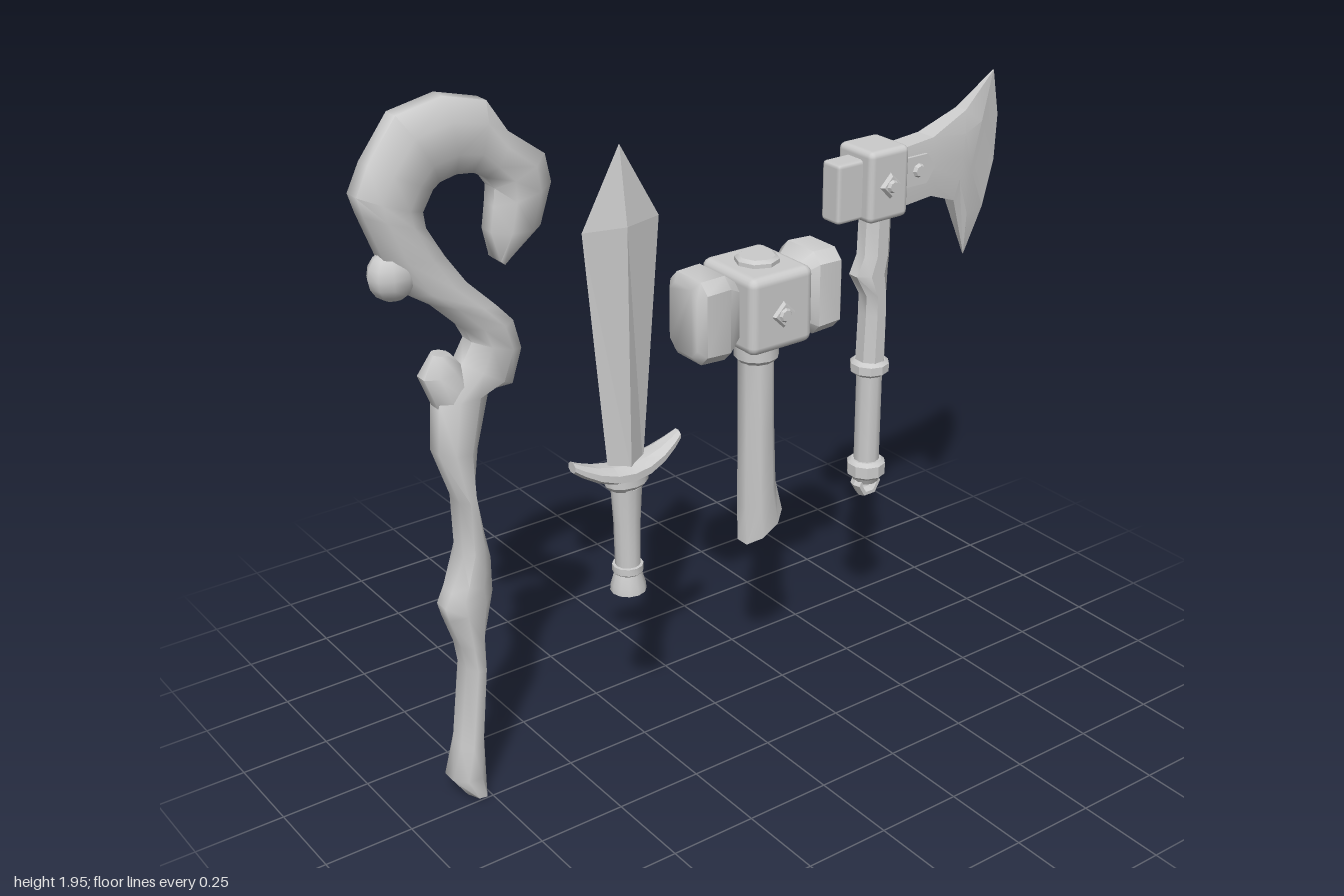
import * as THREE from 'three';
import { toCreasedNormals } from 'three/addons/utils/BufferGeometryUtils.js';
import { RoundedBoxGeometry } from 'three/addons/geometries/RoundedBoxGeometry.js';

const grey = new THREE.MeshStandardMaterial({ color: 0xcccccc });

function add(parent, name, geo, x = 0, y = 0, z = 0) {
  const mesh = new THREE.Mesh(geo, grey);
  mesh.name = name;
  mesh.position.set(x, y, z);
  parent.add(mesh);
  return mesh;
}

function group(parent, name) {
  const g = new THREE.Group();
  g.name = name;
  parent.add(g);
  return g;
}

// Skin a closed solid over rings of equal point count, facing outwards
function loft(rings, crease = 0.6) {
  const n = rings[0].length, last = rings.length - 1;
  const pts = rings.flat(), tris = [];
  for (let r = 0; r < last; r++) {
    for (let i = 0; i < n; i++) {
      const j = (i + 1) % n, a = r * n, b = a + n;
      tris.push([a + i, a + j, b + j], [a + i, b + j, b + i]);
    }
  }
  for (let i = 1; i < n - 1; i++) {
    tris.push([0, i + 1, i], [last * n, last * n + i, last * n + i + 1]);
  }
  let volume = 0;
  const cross = new THREE.Vector3();
  for (const [a, b, c] of tris) volume += pts[a].dot(cross.crossVectors(pts[b], pts[c]));
  if (volume < 0) tris.forEach((t) => t.reverse());
  const geo = new THREE.BufferGeometry().setFromPoints(pts);
  geo.setIndex(tris.flat());
  return toCreasedNormals(geo, crease);
}

// Eight-sided ring spanning two opposite edge points, hz deep to each side of zc
function spanRing([ax, ay, bx, by], hz, zc = 0) {
  const n = 8, k = 1 / Math.cos(Math.PI / n);
  return Array.from({ length: n }, (_, i) => {
    const a = ((i + 0.5) * 2 * Math.PI) / n, c = Math.cos(a) * k, s = Math.sin(a) * k;
    return new THREE.Vector3(
      (ax + bx) / 2 + ((bx - ax) / 2) * c, (ay + by) / 2 + ((by - ay) / 2) * c, zc + hz * s);
  });
}

function lathe(profile, sides = 12) {
  const pts = profile.map(([r, y]) => new THREE.Vector2(r, y));
  return toCreasedNormals(new THREE.LatheGeometry(pts, sides), 0.6);
}

// Faceted stud on the front and back faces
function studs(parent, name, x, y, z, r, h, sides) {
  for (const s of [1, -1]) {
    const geo = new THREE.CylinderGeometry(r * 0.7, r, h, sides).toNonIndexed();
    geo.rotateX((s * Math.PI) / 2);
    geo.computeVertexNormals();
    add(parent, name, geo, x, y, s * (z + h / 2));
  }
}

function buildStaff(root) {
  const g = group(root, 'staff'), zc = -0.055;
  // Pairs of opposite edge points, from the foot up and around the crook
  const edges = [
    [-0.81, 0.01, -0.75, 0], [-0.85, 0.07, -0.75, 0.07], [-0.82, 0.17, -0.75, 0.17],
    [-0.79, 0.4, -0.73, 0.4], [-0.8, 0.47, -0.73, 0.48], [-0.83, 0.56, -0.7, 0.61],
    [-0.84, 0.6, -0.7, 0.66], [-0.82, 0.64, -0.7, 0.71], [-0.78, 0.73, -0.715, 0.79],
    [-0.78, 0.89, -0.735, 0.92], [-0.83, 1.04, -0.72, 1.03], [-0.82, 1.18, -0.68, 1.18],
    [-0.75, 1.27, -0.61, 1.18], [-0.72, 1.32, -0.58, 1.27], [-0.74, 1.36, -0.6, 1.35],
    [-0.82, 1.44, -0.645, 1.4], [-0.88, 1.48, -0.725, 1.48], [-0.94, 1.58, -0.78, 1.56],
    [-0.985, 1.7, -0.825, 1.64], [-1, 1.75, -0.83, 1.68], [-0.965, 1.82, -0.8, 1.73],
    [-0.885, 1.925, -0.78, 1.745], [-0.76, 1.95, -0.735, 1.755], [-0.645, 1.92, -0.69, 1.75],
    [-0.59, 1.835, -0.655, 1.73], [-0.49, 1.76, -0.635, 1.7], [-0.475, 1.685, -0.64, 1.655],
    [-0.51, 1.58, -0.65, 1.59], [-0.61, 1.495, -0.64, 1.52],
  ];
  const depth = (i) => (i === edges.length - 1 ? 0.03 : 0.055);
  add(g, 'staffShaft', loft(edges.map((e, i) => spanRing(e, depth(i), zc)), 1.1));
  add(g, 'staffBranchStub', loft([
    spanRing([-0.82, 1.16, -0.7, 1.16], 0.045, zc),
    spanRing([-0.855, 1.25, -0.745, 1.26], 0.045, zc),
    spanRing([-0.82, 1.305, -0.775, 1.3], 0.025, zc),
  ], 0.9));
  const burr = add(g, 'staffBurr', new THREE.SphereGeometry(0.066, 10, 8), -0.91, 1.535, zc);
  burr.scale.z = 0.78;
}

function buildSword(root) {
  const g = group(root, 'sword');
  g.position.x = -0.295;
  // Diamond-section blade
  const diamond = (y, hx, hz) => [[hx, 0], [0, hz], [-hx, 0], [0, -hz]]
    .map(([x, z]) => new THREE.Vector3(x, y, z));
  add(g, 'swordBlade', loft([
    diamond(0.85, 0.055, 0.028), diamond(1.545, 0.117, 0.03), diamond(1.754, 0.001, 0.001),
  ], 0.05));
  // Upswept guard
  const guard = [-1, -0.85, -0.6, -0.3, 0, 0.3, 0.6, 0.85, 1].map((t) => {
    const x = 0.168 * t;
    return spanRing([x, 0.825 + 0.07 * t * t, x, 0.877 + 0.048 * t * t], 0.05 - 0.033 * t * t);
  });
  add(g, 'swordGuard', loft(guard, 0.5));
  add(g, 'swordCollar', lathe([[0, 0.805], [0.05, 0.805], [0.064, 0.82], [0.064, 0.85], [0, 0.85]]))
    .scale.z = 0.75;
  add(g, 'swordGrip', lathe([[0, 0.55], [0.035, 0.56], [0.037, 0.7], [0.043, 0.81], [0, 0.81]]));
  add(g, 'swordPommel', lathe([
    [0, 0.49], [0.05, 0.49], [0.048, 0.51], [0.038, 0.545], [0.043, 0.55], [0.043, 0.57], [0, 0.575],
  ]));
}

function buildHammer(root) {
  const g = group(root, 'hammer'), cx = 0.14, cy = 1.237;
  add(g, 'hammerBlock', new RoundedBoxGeometry(0.21, 0.22, 0.235, 2, 0.025), cx, cy);
  // Flared striking heads with chamfered rectangular sections
  const boxRing = (x, hy, hz, c) => [
    [hy, hz - c], [hy - c, hz], [c - hy, hz], [-hy, hz - c],
    [-hy, c - hz], [c - hy, -hz], [hy - c, -hz], [hy, c - hz],
  ].map(([y, z]) => new THREE.Vector3(x, cy + y, z));
  for (const s of [-1, 1]) {
    add(g, 'hammerHead', loft([
      boxRing(cx + s * 0.08, 0.08, 0.058, 0.02), boxRing(cx + s * 0.105, 0.087, 0.062, 0.022),
      boxRing(cx + s * 0.15, 0.12, 0.085, 0.03), boxRing(cx + s * 0.225, 0.117, 0.083, 0.03),
      boxRing(cx + s * 0.244, 0.095, 0.062, 0.025),
    ], 0.75));
  }
  add(g, 'hammerTopCap', lathe([[0, 0], [0.062, 0], [0.062, 0.018], [0.05, 0.026], [0, 0.026]], 8), cx, 1.34);
  add(g, 'hammerCollar', lathe([[0, 0], [0.052, 0], [0.063, 0.012], [0.063, 0.08], [0, 0.08]], 12), cx, 1.063);
  studs(g, 'hammerStudBase', cx, cy - 0.005, 0.112, 0.044, 0.014, 4);
  studs(g, 'hammerStud', cx, cy - 0.005, 0.124, 0.022, 0.009, 8);
  // Handle with a slanted, flared butt
  add(g, 'hammerHandle', loft([
    spanRing([0.09, 1.1, 0.187, 1.1], 0.047), spanRing([0.093, 0.85, 0.19, 0.87], 0.047),
    spanRing([0.092, 0.62, 0.197, 0.68], 0.05), spanRing([0.096, 0.505, 0.222, 0.58], 0.05),
  ], 0.9));
}

function buildAxe(root) {
  const g = group(root, 'axe'), cx = 0.552;
  add(g, 'axeSocket', new RoundedBoxGeometry(0.14, 0.205, 0.145, 2, 0.018), 0.541, 1.497);
  add(g, 'axePoll', new RoundedBoxGeometry(0.12, 0.172, 0.075, 1, 0.012), 0.447, 1.487);
  // Blade columns: top x, y, bottom x, y, bow, half thickness, half thickness at the ends
  const columns = [
    [0.59, 1.575, 0.59, 1.405, 0, 0.038, 0.034], [0.73, 1.588, 0.73, 1.417, 0, 0.036, 0.032],
    [0.86, 1.64, 0.83, 1.38, 0, 0.033, 0.02], [0.976, 1.732, 0.896, 1.2, -0.05, 0.026, 0.002],
    [0.978, 1.732, 0.897, 1.198, 0.06, 0.001, 0.001],
  ];
  const bladeRing = ([tx, ty, bx, by, bow, hz, end]) => {
    const side = (s) => [0, 0.25, 0.5, 0.75, 1].map((t) => new THREE.Vector3(
      tx + (bx - tx) * t + bow * 4 * t * (1 - t), ty + (by - ty) * t,
      s * (t % 1 === 0 ? end : hz)));
    return [...side(1), ...side(-1).reverse()];
  };
  add(g, 'axeBlade', loft(columns.map(bladeRing), 0.25));
  // Pointed cheek plate running through the blade
  const tab = new THREE.Shape([[0.59, 1.55], [0.7, 1.55], [0.73, 1.508], [0.7, 1.465], [0.59, 1.465]]
    .map(([x, y]) => new THREE.Vector2(x, y)));
  add(g, 'axeCheekPlate', new THREE.ExtrudeGeometry(tab, { depth: 0.09, bevelEnabled: false }), 0, 0, -0.045);
  studs(g, 'axeRivet', 0.668, 1.508, 0.043, 0.022, 0.012, 8);
  studs(g, 'axeStudBase', 0.541, 1.497, 0.07, 0.04, 0.012, 4);
  studs(g, 'axeStud', 0.541, 1.497, 0.08, 0.02, 0.011, 8);
  // Upper handle with a knot on its back edge: left x, right x, y
  add(g, 'axeUpperHandle', loft([
    [0.512, 0.592, 0.94], [0.517, 0.592, 1.1], [0.517, 0.59, 1.16], [0.48, 0.592, 1.225],
    [0.505, 0.596, 1.28], [0.509, 0.596, 1.42],
  ].map(([l, r, y]) => spanRing([l, y, r, y], 0.042)), 0.6));
  add(g, 'axeLowerHandle', new THREE.CylinderGeometry(0.038, 0.038, 0.34, 10), cx, 0.77);
  // Bands and pommel ring
  const band = (h) => lathe([
    [0, 0], [0.045, 0], [0.057, 0.01], [0.057, h - 0.01], [0.045, h], [0, h]], 10);
  add(g, 'axeMiddleBand', band(0.045), cx, 0.912);
  add(g, 'axeLowerBand', band(0.055), cx, 0.583);
  add(g, 'axeButt', lathe([[0, 0.565], [0.035, 0.565], [0.048, 0.59], [0, 0.59]], 10), cx);
  const ring = new THREE.TorusGeometry(0.034, 0.012, 6, 6);
  ring.scale(1, 1, 2);
  add(g, 'axePommelRing', toCreasedNormals(ring, 0.3), cx, 0.56);
}

export function createModel() {
  const root = new THREE.Group();
  root.name = 'weaponSet';
  buildStaff(root);
  buildSword(root);
  buildHammer(root);
  buildAxe(root);
  return root;
}
